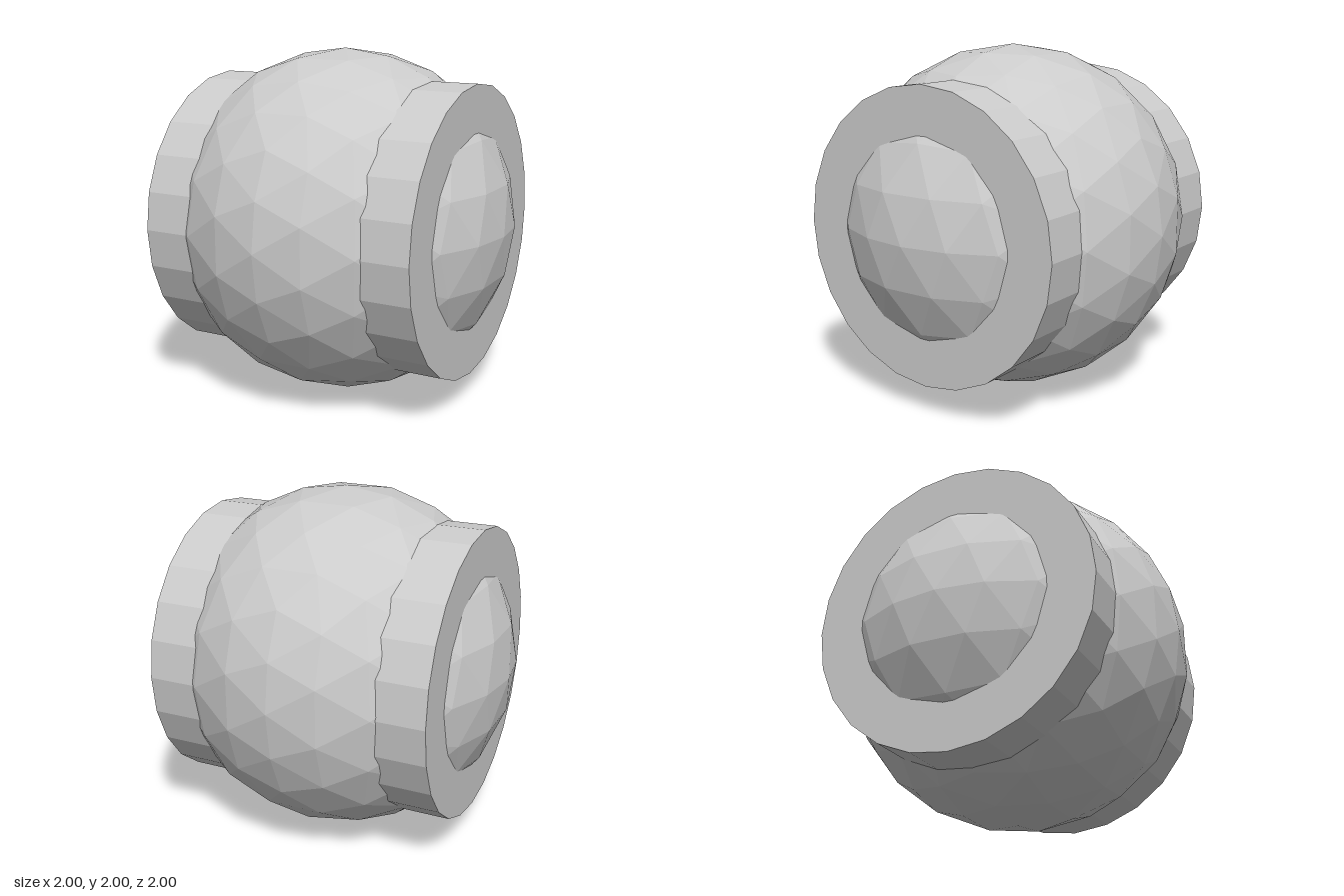
import * as THREE from 'three';

// Geodesic sphere: split an icosahedron repeatedly, projecting to the sphere at each step
function geodesicSphere(radius, splits) {
  let geometry = new THREE.IcosahedronGeometry(radius, 0);
  for (let i = 0; i < splits; i++) {
    const points = Array.from(geometry.attributes.position.array);
    const indices = Array.from({ length: points.length / 3 }, (_, k) => k);
    geometry = new THREE.PolyhedronGeometry(points, indices, radius, 1);
  }
  geometry.computeVertexNormals(); // unshared corners give flat facets
  return geometry;
}

export function createModel() {
  const group = new THREE.Group();
  const material = new THREE.MeshStandardMaterial({ color: 0xcccccc, flatShading: true });

  // Faceted ball
  const ball = new THREE.Mesh(geodesicSphere(1, 2), material);
  ball.name = 'ball';
  ball.position.y = 1;
  group.add(ball);

  // Drum running sideways through the ball
  const drum = new THREE.Mesh(new THREE.CylinderGeometry(0.833, 0.833, 1.64, 24), material);
  drum.name = 'drum';
  drum.rotation.z = Math.PI / 2;
  drum.position.y = 1;
  group.add(drum);

  return group;
}
